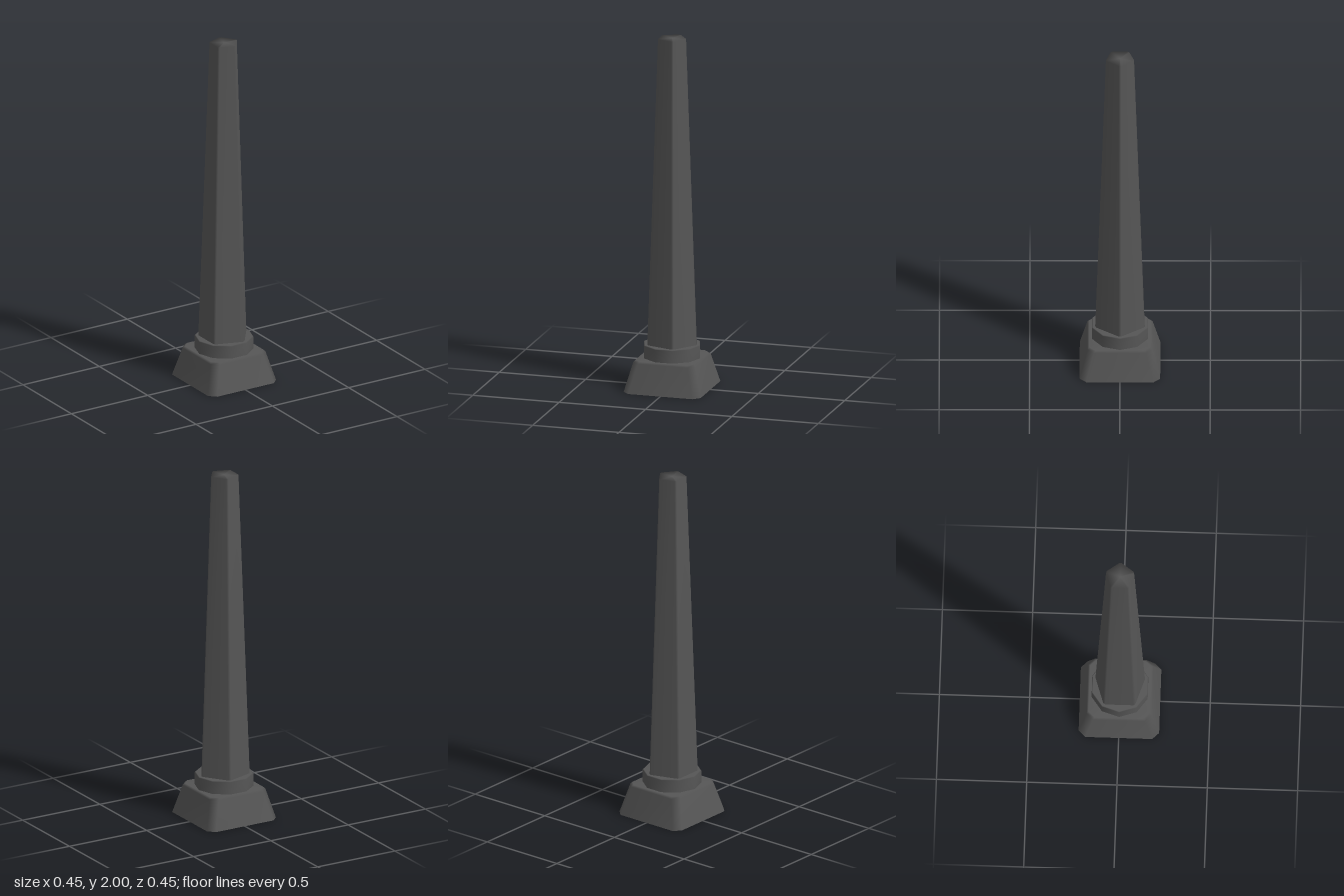
import * as THREE from 'three';

// Regular polygon with a vertex on +x; half > 0 cuts each corner into a short edge
function polygon(sides, r, half = 0) {
  const pts = [];
  for (let i = 0; i < sides; i++) {
    const a = (i / sides) * Math.PI * 2, c = Math.cos(a), s = Math.sin(a);
    if (half) pts.push([r * c + half * s, r * s - half * c], [r * c - half * s, r * s + half * c]);
    else pts.push([r * c, r * s]);
  }
  return pts;
}

// Square of half width w with corners cut by c
function cutSquare(w, c) {
  const k = w - c;
  return [[w, -k], [w, k], [k, w], [-k, w], [-w, k], [-w, -k], [-k, -w], [k, -w]];
}

// Skin through [y, outline] sections, capped on top, open below, smooth normals
function loft(sections) {
  const n = sections[0][1].length, pos = [], index = [];
  for (const [y, pts] of sections) for (const [x, z] of pts) pos.push(x, y, z);
  for (let j = 0; j < sections.length - 1; j++) {
    for (let i = 0; i < n; i++) {
      const a = j * n + i, b = j * n + (i + 1) % n;
      index.push(a, a + n, b, b, a + n, b + n);
    }
  }
  const top = (sections.length - 1) * n, centre = sections.length * n;
  pos.push(0, sections[sections.length - 1][0], 0);
  for (let i = 0; i < n; i++) index.push(centre, top + (i + 1) % n, top + i);
  const geo = new THREE.BufferGeometry();
  geo.setAttribute('position', new THREE.Float32BufferAttribute(pos, 3));
  geo.setIndex(index);
  geo.computeVertexNormals();
  return geo;
}

export function createModel() {
  const group = new THREE.Group();
  const material = new THREE.MeshStandardMaterial({ color: 0x555555, side: THREE.DoubleSide });
  const add = (name, sections) => {
    const mesh = new THREE.Mesh(loft(sections), material);
    mesh.name = name;
    group.add(mesh);
  };

  // Hollow flared foot
  add('base', [
    [0, cutSquare(0.223, 0.037)],
    [0.165, cutSquare(0.18, 0.036)],
    [0.175, cutSquare(0.17, 0.035)],
  ]);

  // Ten-sided ring with a fine top bevel
  add('collar', [
    [0.172, polygon(10, 0.163)],
    [0.246, polygon(10, 0.163)],
    [0.25, polygon(10, 0.158)],
  ]);

  // Tapering five-sided post with cut corners
  add('column', [
    [0.25, polygon(5, 0.142, 0.007)],
    [2, polygon(5, 0.08, 0.006)],
  ]);

  return group;
}
